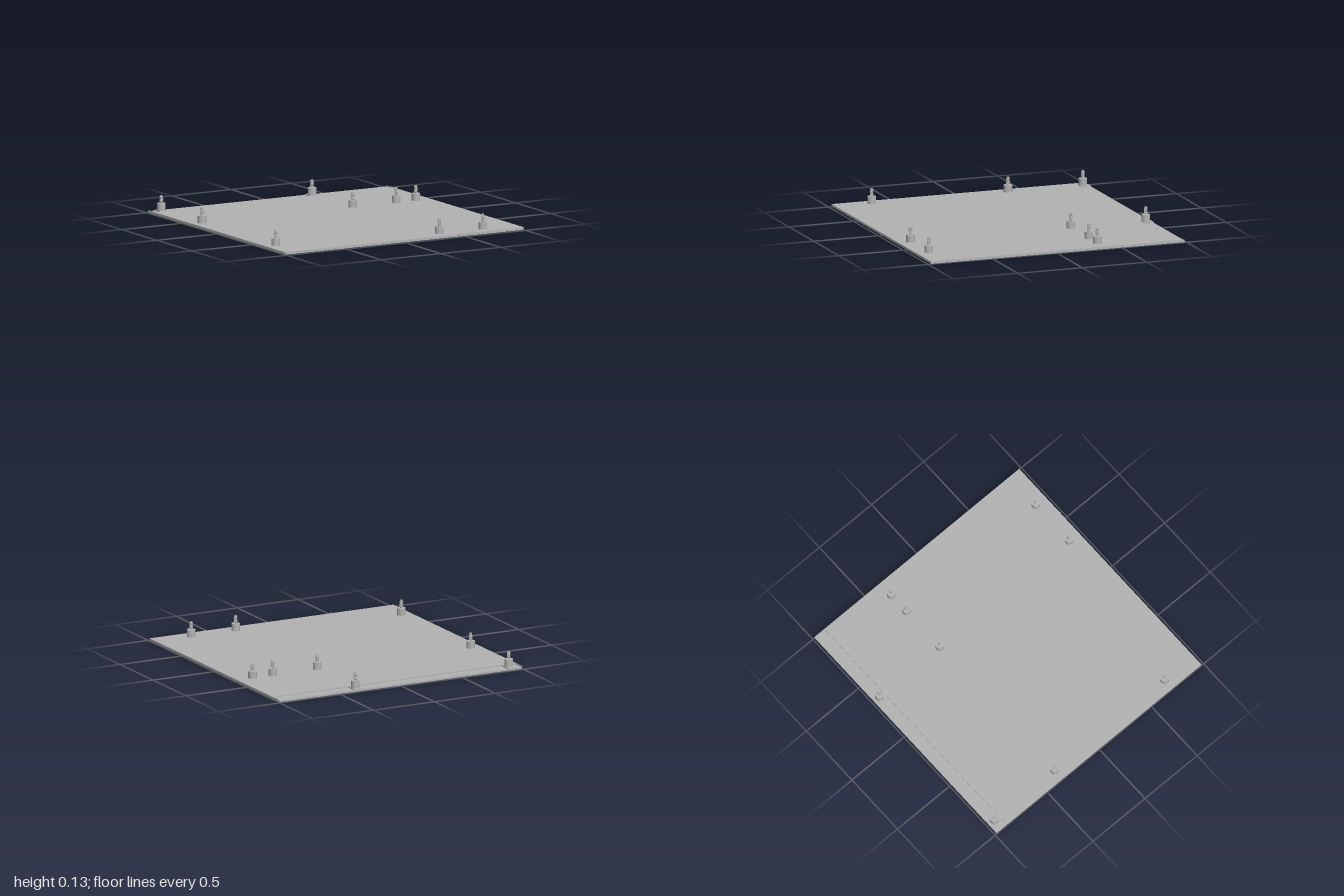
import * as THREE from 'three';

export function createModel() {
  const model = new THREE.Group();
  const steel = new THREE.MeshStandardMaterial({ color: 0xb2b2b2 });
  steel.name = 'grey steel';

  const add = (parent, name, geometry, x = 0, y = 0, z = 0) => {
    const mesh = new THREE.Mesh(geometry, steel);
    mesh.name = name;
    mesh.position.set(x, y, z);
    parent.add(mesh);
    return mesh;
  };

  // Lower plate, slightly narrower than the top sheet
  const baseTop = 0.013, plateTop = 0.02;
  add(model, 'lowerPlate', new THREE.BoxGeometry(1.986, baseTop, 1.96), 0, baseTop / 2, -0.005);

  // Top sheet, cut away along the back except for two tabs and the side lips
  const back = 0.985, step = 0.89, front = -0.98;
  const outline = [
    [-1, front], [1, front], [1, back], [0.992, back], [0.992, step],
    [0.38, step], [0.38, back], [0.31, back], [0.31, step],
    [-0.88, step], [-0.88, back], [-0.945, back], [-0.945, step],
    [-0.992, step], [-0.992, back], [-1, back],
  ];
  const sheet = new THREE.ExtrudeGeometry(
    new THREE.Shape(outline.map(([x, y]) => new THREE.Vector2(x, y))),
    { depth: plateTop - baseTop, bevelEnabled: false });
  sheet.rotateX(-Math.PI / 2);
  add(model, 'topSheet', sheet, 0, baseTop, 0);

  // Small locating pins at the back step and the front edge
  const pin = new THREE.CylinderGeometry(0.006, 0.006, 0.004, 12);
  for (const x of [-0.49, 0.55]) {
    add(model, 'backPin', pin, x, baseTop + 0.001, -0.94);
    add(model, 'frontPin', pin, x, plateTop + 0.001, 0.977);
  }

  // Standoff: collar, screw core and helical thread
  const collar = new THREE.CylinderGeometry(0.031, 0.031, 0.053, 32);
  const core = new THREE.CylinderGeometry(0.009, 0.009, 0.06, 20);
  const turns = 5, helix = [];
  for (let i = 0; i <= turns * 12; i++) {
    const a = i / 12 * Math.PI * 2;
    helix.push(new THREE.Vector3(0.0105 * Math.cos(a), 0.078 + 0.047 * i / (turns * 12), 0.0105 * Math.sin(a)));
  }
  const thread = new THREE.TubeGeometry(new THREE.CatmullRomCurve3(helix), turns * 16, 0.0037, 6);

  const places = [
    [-0.915, -0.935], [0.345, -0.935],
    [-0.915, -0.355], [0.345, -0.355], [0.71, -0.355], [0.875, -0.355],
    [-0.915, 0.7], [0.345, 0.885], [0.71, 0.885],
  ];
  for (const [x, z] of places) {
    const standoff = new THREE.Group();
    standoff.name = 'standoff';
    standoff.position.set(x, 0, z);
    add(standoff, 'collar', collar, 0, plateTop + 0.0265, 0);
    add(standoff, 'screwCore', core, 0, 0.101, 0);
    add(standoff, 'screwThread', thread);
    model.add(standoff);
  }
  return model;
}
